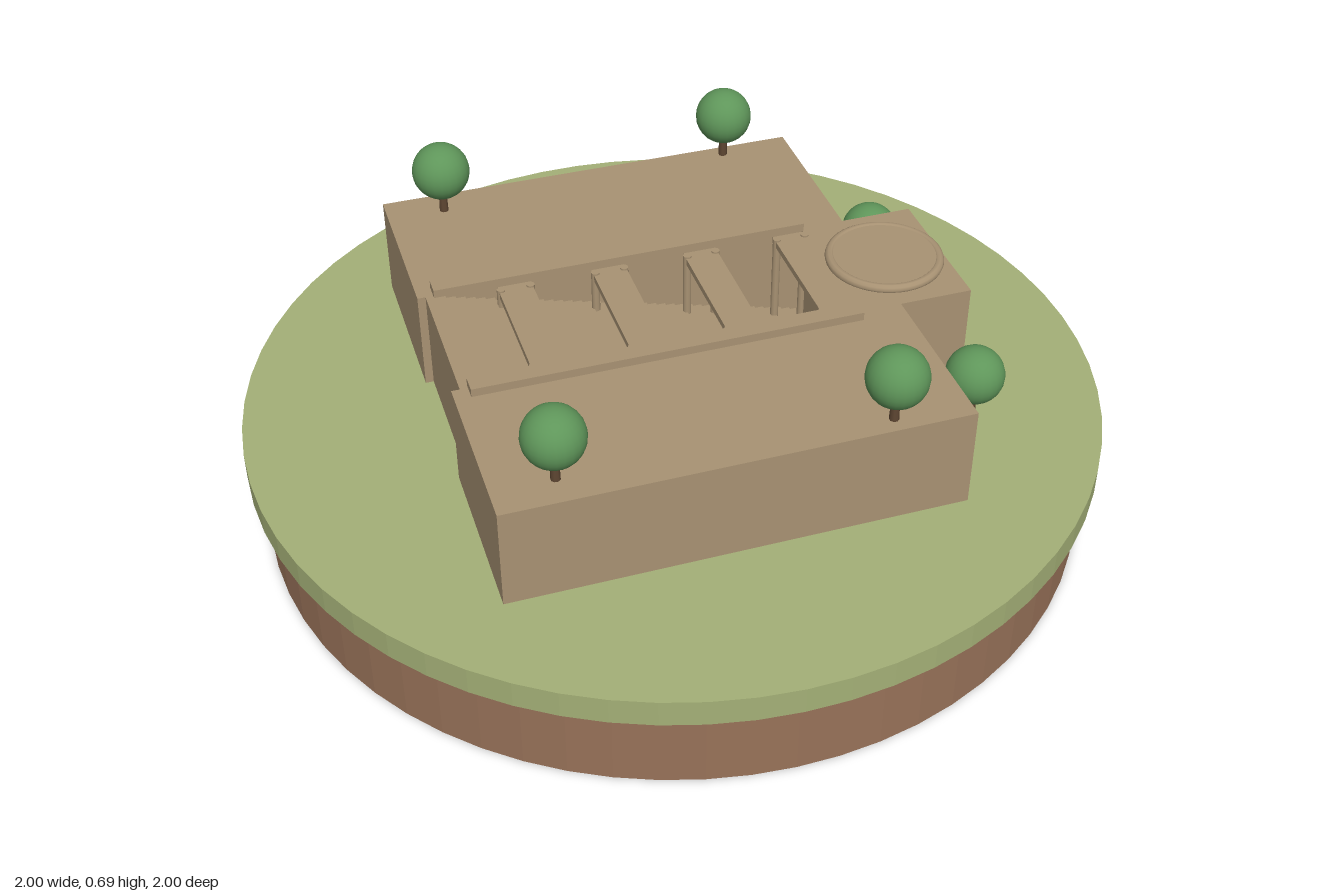
import * as THREE from 'three';

const mat = (name, color, flatShading = false) => {
  const m = new THREE.MeshStandardMaterial({ color, flatShading });
  m.name = name;
  return m;
};

export function createModel() {
  const stone = mat('sandstone', 0xa89273);
  const grass = mat('grass', 0xa4b077, true);
  const earth = mat('earth', 0x987259, true);
  const leaf = mat('foliage', 0x5f965a);
  const bark = mat('bark', 0x5e4632);

  const model = new THREE.Group();
  model.name = 'stepwell';
  const add = (parent, name, geometry, material, x, y, z) => {
    const mesh = new THREE.Mesh(geometry, material);
    mesh.name = name;
    mesh.position.set(x, y, z);
    parent.add(mesh);
    return mesh;
  };

  // Round base
  add(model, 'earthBase', new THREE.CylinderGeometry(0.97, 0.97, 0.2, 64), earth, 0, 0.1, 0);
  add(model, 'grassDisc', new THREE.CylinderGeometry(1, 1, 0.065, 64), grass, 0, 0.2325, 0);

  // Building, turned on the base
  const building = new THREE.Group();
  building.name = 'building';
  building.rotation.y = -Math.PI / 9;
  model.add(building);
  const ground = 0.262, roof = 0.51;
  const block = (name, x0, x1, y0, y1, z0, z1) =>
    add(building, name, new THREE.BoxGeometry(x1 - x0, y1 - y0, z1 - z0), stone,
      (x0 + x1) / 2, (y0 + y1) / 2, (z0 + z1) / 2);

  // Side blocks and the parapets along the stair trench
  for (const s of [-1, 1]) {
    const side = s < 0 ? 'right' : 'left';
    const span = (a, b) => (s > 0 ? [a, b] : [-b, -a]);
    block(side + 'Block', ...span(0.177, 0.591), ground, roof, -0.489, 0.554);
    block(side + 'Parapet', ...span(0.168, 0.21), roof, 0.53, -0.385, 0.517);
  }

  // Well block with a rounded cap
  block('wellBlock', -0.179, 0.179, ground, roof, -0.663, -0.383);
  const cap = add(building, 'wellRim', new THREE.TorusGeometry(0.128, 0.012, 10, 48), stone, 0, 0.515, -0.523);
  cap.rotation.x = Math.PI / 2;
  add(building, 'wellCap', new THREE.CylinderGeometry(0.128, 0.128, 0.014, 48), stone, 0, 0.517, -0.523);

  // Stairs going down from the front to the well
  const steps = 40, front = 0.535, run = (front + 0.383) / steps;
  for (let i = 0; i < steps; i++) {
    const top = roof - i * 0.006, z = front - i * run;
    block('step', -0.177, 0.177, ground, top, z - run, z);
  }

  // Pillared pavilions bridging the stairs
  const pillarBase = (z) => roof - 0.006 * Math.floor((front - z) / run) - 0.01;
  for (let i = 0; i < 4; i++) {
    const z = -0.345 + i * 0.225;
    block('pavilionSlab', -0.165, 0.165, 0.494, roof, z - 0.04, z + 0.04);
    for (const x of [-0.149, 0.149]) {
      for (const dz of [-0.035, 0.035]) {
        const y0 = pillarBase(z + dz), h = 0.514 - y0;
        add(building, 'pillar', new THREE.CylinderGeometry(0.01, 0.01, h, 10), stone, x, y0 + h / 2, z + dz);
      }
    }
  }

  // Trees on the roof and behind the building
  const trunkGeo = new THREE.CylinderGeometry(0.009, 0.011, 0.07, 8);
  const crownGeo = new THREE.SphereGeometry(0.069, 24, 16);
  const trees = [
    [-0.418, roof, -0.487], [0.626, roof, -0.104], [-0.632, roof, 0.213],
    [0.346, roof, 0.567], [-0.082, 0.26, -0.695], [0.506, 0.26, -0.482],
  ];
  for (const [x, y, z] of trees) {
    const tree = new THREE.Group();
    tree.name = 'tree';
    tree.position.set(x, y, z);
    add(tree, 'trunk', trunkGeo, bark, 0, 0.035, 0);
    add(tree, 'crown', crownGeo, leaf, 0, 0.112, 0);
    model.add(tree);
  }
  return model;
}
